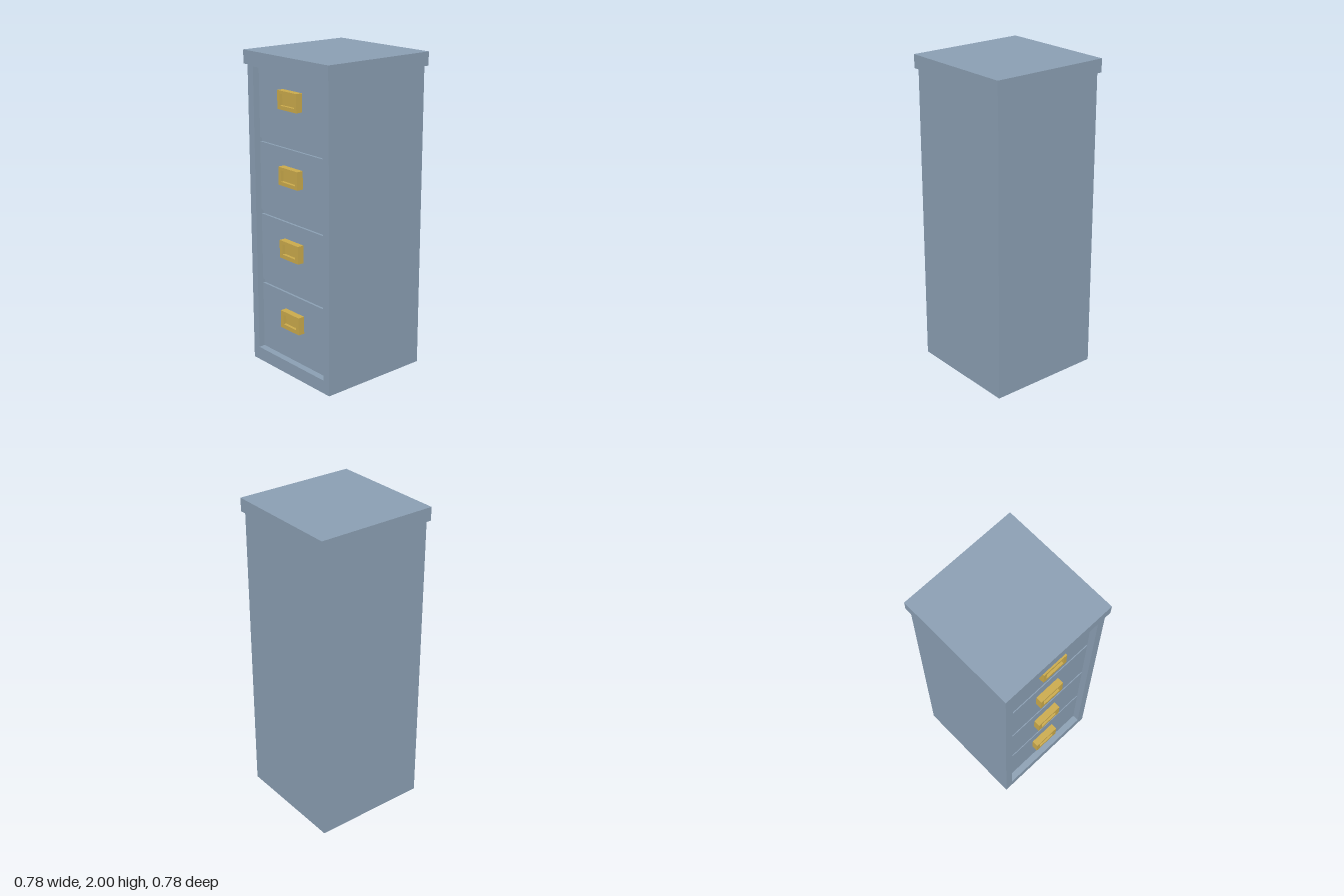
import * as THREE from 'three';

const steel = new THREE.MeshStandardMaterial({ color: 0x8a9eb2 });
steel.name = 'blueGreySteel';
const brass = new THREE.MeshStandardMaterial({ color: 0xc9a94b });
brass.name = 'brass';

function box(name, material, x0, x1, y0, y1, z0, z1) {
  const mesh = new THREE.Mesh(new THREE.BoxGeometry(x1 - x0, y1 - y0, z1 - z0), material);
  mesh.position.set((x0 + x1) / 2, (y0 + y1) / 2, (z0 + z1) / 2);
  mesh.name = name;
  return mesh;
}

function rectPoints(x, y0, y1) {
  return [[-x, y0], [x, y0], [x, y1], [-x, y1]].map(([a, b]) => new THREE.Vector2(a, b));
}

// Rectangular frame with a rectangular opening, extruded from z0 to z1
function frame(name, material, outer, inner, z0, z1) {
  const shape = new THREE.Shape(rectPoints(...outer));
  shape.holes.push(new THREE.Path(rectPoints(...inner)));
  const geometry = new THREE.ExtrudeGeometry(shape, { depth: z1 - z0, bevelEnabled: false });
  const mesh = new THREE.Mesh(geometry, material);
  mesh.position.z = z0;
  mesh.name = name;
  return mesh;
}

export function createModel() {
  const cabinet = new THREE.Group();
  cabinet.name = 'filingCabinet';

  const half = 0.373, bodyTop = 1.916;
  const grooveZ = 0.315, drawerZ = 0.33;

  // Carcass, front surround and overhanging top
  cabinet.add(box('carcass', steel, -half, half, 0, bodyTop, -half, grooveZ));
  cabinet.add(frame('frontSurround', steel, [half, 0, bodyTop], [0.32, 0.085, 1.905], grooveZ, half));
  cabinet.add(box('topSlab', steel, -0.39, 0.39, bodyTop, 2, -0.39, 0.39));

  // Four recessed drawers, listed from the bottom, with cup pulls
  const pullOpenings = [0.06, 0.062, 0.066, 0.066];
  pullOpenings.forEach((openX, i) => {
    const y = 0.085 + i * 0.461;
    const drawer = new THREE.Group();
    drawer.name = 'drawer' + (i + 1);
    drawer.add(box('drawerFront', steel, -0.32, 0.32, y, y + 0.435, grooveZ, drawerZ));

    // Pull: backing plate with a raised rim around a shallow pocket
    const p = y + 0.273, openY = openX * 0.53;
    drawer.add(box('pullBack', brass, -0.088, 0.088, p - 0.056, p + 0.056, drawerZ, 0.353));
    drawer.add(frame('pullRim', brass, [0.088, p - 0.056, p + 0.056],
      [openX, p + 0.002 - openY, p + 0.002 + openY], 0.353, half));
    cabinet.add(drawer);
  });

  return cabinet;
}
